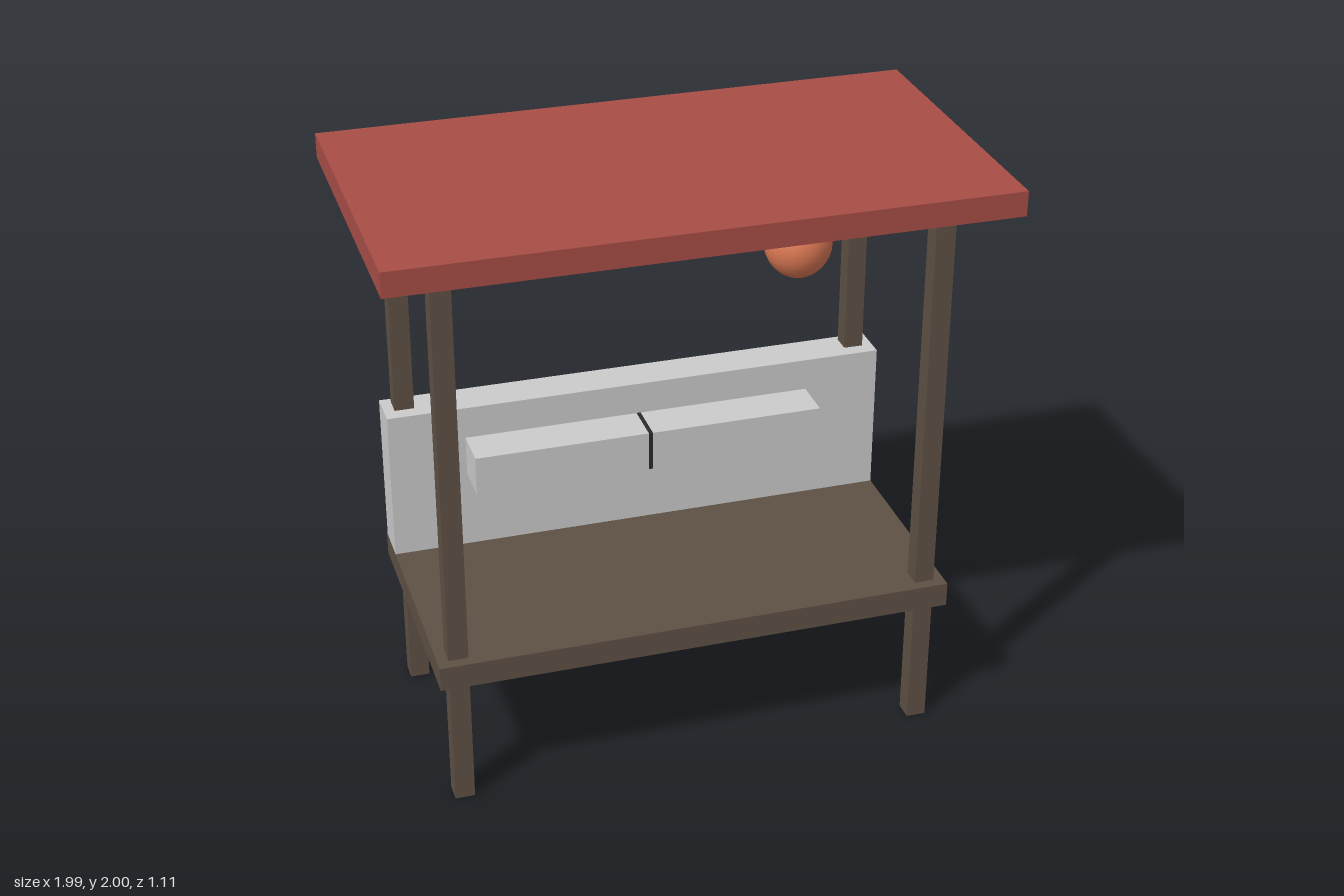
import * as THREE from 'three';

const material = (color) => new THREE.MeshStandardMaterial({ color });

export function createModel() {
  const group = new THREE.Group();
  const wood = material(0x5e5145);
  const red = material(0xa84e47);
  const grey = material(0xcccccc);
  const dark = material(0x2a2a2a);
  const orange = material(0xe07b56);

  // Box given by its centre x, width, and y and z ranges
  function box(name, mat, x, width, [y0, y1], [z0, z1]) {
    const mesh = new THREE.Mesh(new THREE.BoxGeometry(width, y1 - y0, z1 - z0), mat);
    mesh.position.set(x, (y0 + y1) / 2, (z0 + z1) / 2);
    mesh.name = name;
    group.add(mesh);
    return mesh;
  }

  // Flat roof and counter
  box('roof', red, 0, 1.99, [1.917, 2], [-0.528, 0.553]);
  box('counter', wood, 0, 1.732, [0.464, 0.548], [-0.421, 0.446]);

  // Four posts running from the ground to the roof
  for (const [side, x] of [['Left', 0.797], ['Right', -0.797]]) {
    for (const [end, z] of [['front', 0.376], ['back', -0.351]]) {
      box(`${end}${side}Post`, wood, x, 0.066, [0, 1.917], [z - 0.033, z + 0.033]);
    }
  }

  // Upright back panel with a beam through it
  box('backPanel', grey, 0, 1.732, [0.548, 1.074], [-0.406, -0.268]);
  box('beam', grey, 0, 1.21, [0.824, 0.962], [-0.553, -0.119]);

  // Thin seam around the middle of the beam
  box('beamSeam', dark, 0, 0.014, [0.8235, 0.9625], [-0.5535, -0.1185]);

  // Lantern by the back left post, slightly taller than wide
  const lantern = new THREE.Mesh(new THREE.SphereGeometry(0.12, 24, 16), orange);
  lantern.scale.y = 1.1;
  lantern.position.set(0.606, 1.476, -0.39);
  lantern.name = 'lantern';
  group.add(lantern);

  return group;
}
